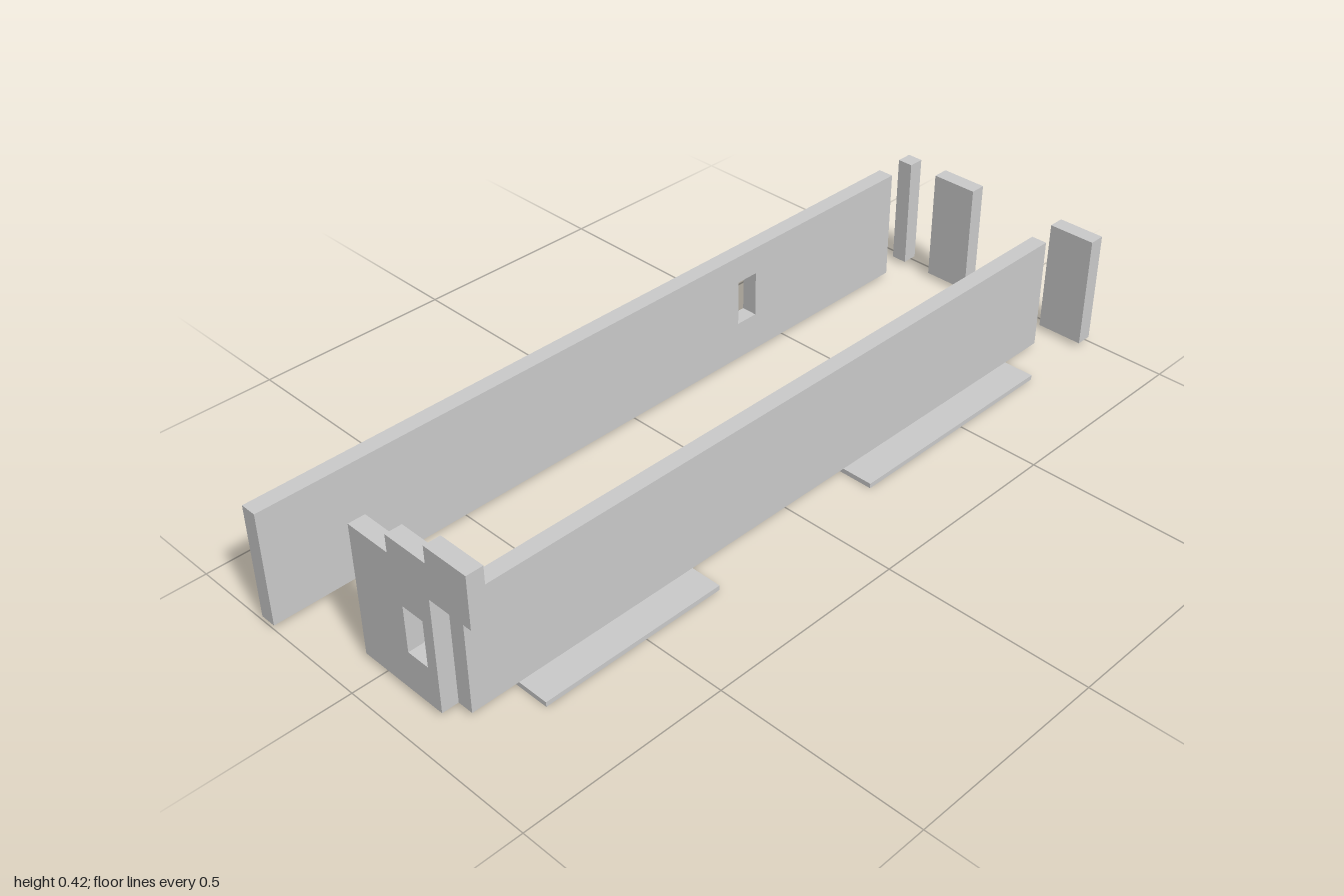
import * as THREE from 'three';

const material = new THREE.MeshStandardMaterial({ color: 0xcccccc, flatShading: true });
const BASE = 0.012, TOP = 0.295, THICK = 0.04;

export function createModel() {
  const model = new THREE.Group();

  const add = (name, geometry) => {
    const mesh = new THREE.Mesh(geometry, material);
    mesh.name = name;
    model.add(mesh);
    return mesh;
  };

  // Box given by its lower and upper limits on each axis
  const box = (name, [x0, x1], [y0, y1], [z0, z1]) =>
    add(name, new THREE.BoxGeometry(x1 - x0, y1 - y0, z1 - z0))
      .position.set((x0 + x1) / 2, (y0 + y1) / 2, (z0 + z1) / 2);

  // Flat panel with a rectangular window, extruded by the wall thickness
  const panel = (name, outline, [a0, a1], [b0, b1]) => {
    const toPoints = (list) => list.map(([a, b]) => new THREE.Vector2(a, b));
    const shape = new THREE.Shape(toPoints(outline));
    shape.holes.push(new THREE.Path(toPoints([[a0, b0], [a0, b1], [a1, b1], [a1, b0]])));
    return add(name, new THREE.ExtrudeGeometry(shape, { depth: THICK, bevelEnabled: false }));
  };

  // Long side wall with a window; drawn along -z, then turned to stand lengthwise
  const windowWall = panel('windowSideWall',
    [[-1, BASE], [0.885, BASE], [0.885, TOP], [-1, TOP]],
    [0.333, 0.392], [0.11, 0.225]);
  windowWall.rotation.y = Math.PI / 2;
  windowWall.position.x = -0.295;

  // Plain long side wall, butting against the stepped end wall
  box('plainSideWall', [0.176, 0.216], [BASE, TOP], [-0.885, 0.88]);

  // Stepped front wall with a window and an overhang above the side wall
  panel('steppedFrontWall', [
    [-0.059, BASE], [0.176, BASE], [0.176, TOP], [0.294, TOP], [0.294, 0.421],
    [0.176, 0.421], [0.176, 0.38], [0.059, 0.38], [0.059, 0.337], [-0.059, 0.337],
  ], [0.088, 0.147], [0.11, 0.225]).position.z = 0.88;

  // Separate rear wall pieces
  const rearPieces = [[-0.295, -0.255], [-0.177, -0.059], [0.176, 0.294]];
  rearPieces.forEach((x, i) => box(`rearWallPiece${i + 1}`, x, [BASE, TOP], [-1, -0.96]));

  // Thin floor plates below the walls
  box('rearFloorPlate', [-0.059, 0.294], [0, BASE], [-0.768, -0.18]);
  box('frontFloorPlate', [-0.059, 0.294], [0, BASE], [0.293, 0.764]);

  return model;
}
